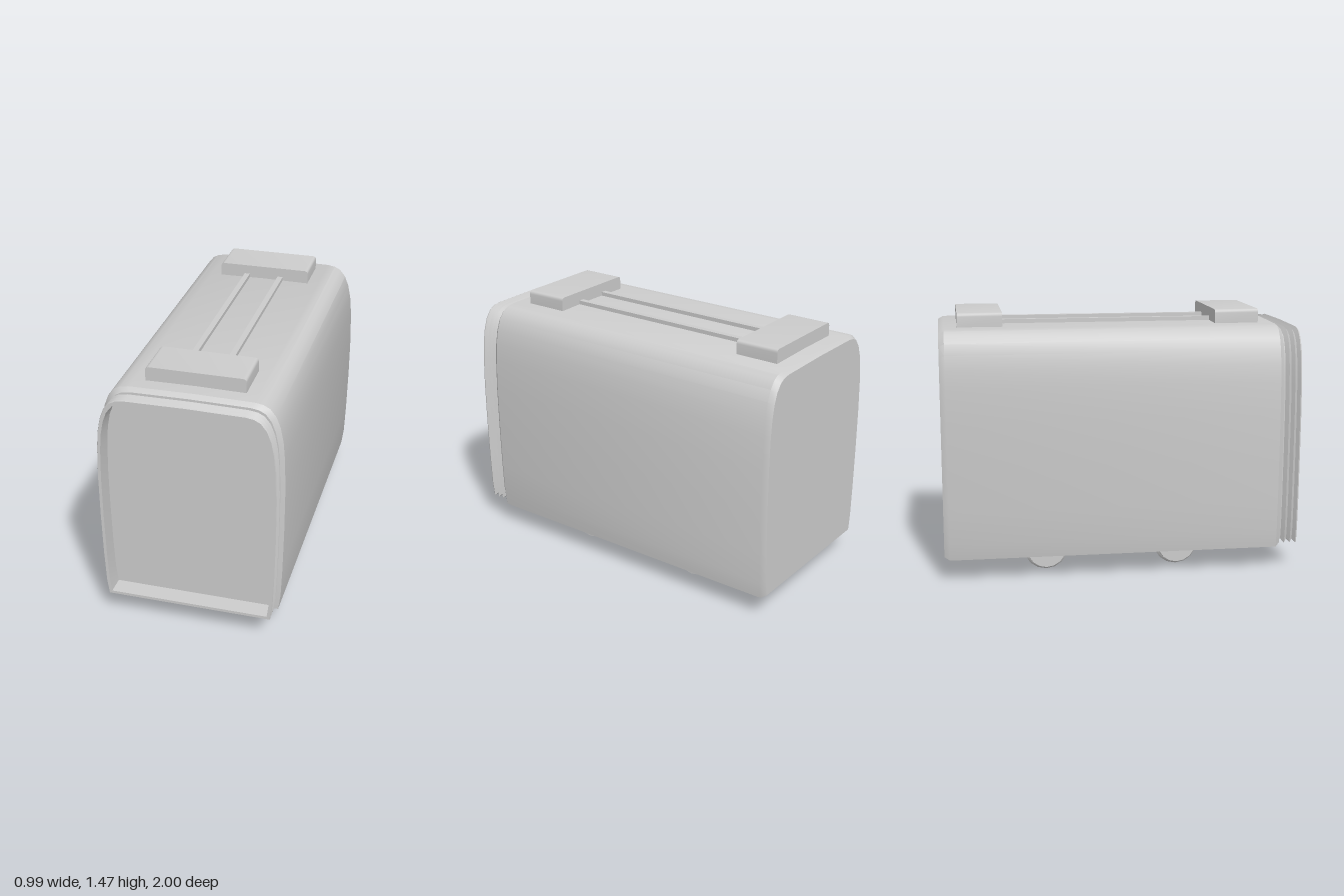
import * as THREE from 'three';
import { toCreasedNormals } from 'three/addons/utils/BufferGeometryUtils.js';

// Half of the carriage section, bottom corner to roof centre
const half = [
  [0.472, 0.125], [0.484, 0.22], [0.491, 0.4], [0.496, 0.65], [0.497, 0.9], [0.491, 1.08], [0.482, 1.18],
  [0.466, 1.26], [0.443, 1.32], [0.41, 1.362], [0.375, 1.38], [0.33, 1.387], [0, 1.391],
];
const section = [...half, ...half.slice(0, -1).reverse().map(([x, y]) => [-x, y])];
const midY = 0.757;

// Closed skin through scaled copies of the section; rings are [z, inset]
function loft(rings) {
  const pos = [], index = [], n = section.length;
  for (const [z, inset] of rings) {
    for (const [x, y] of section) {
      pos.push(x * (1 - inset / 0.497), midY + (y - midY) * (1 - inset / 0.634), z);
    }
  }
  for (let r = 0; r < rings.length - 1; r++) {
    for (let i = 0; i < n; i++) {
      const j = (i + 1) % n, a = r * n + i, b = r * n + j, c = a + n, d = b + n;
      index.push(a, b, d, a, d, c);
    }
  }
  // End panels
  const last = (rings.length - 1) * n, c0 = rings.length * n;
  pos.push(0, midY, rings[0][0], 0, midY, rings[rings.length - 1][0]);
  for (let i = 0; i < n; i++) {
    const j = (i + 1) % n;
    index.push(c0, j, i, c0 + 1, last + i, last + j);
  }
  const geo = new THREE.BufferGeometry();
  geo.setAttribute('position', new THREE.Float32BufferAttribute(pos, 3));
  geo.setIndex(index);
  return toCreasedNormals(geo, 0.6);
}

export function createModel() {
  const model = new THREE.Group();
  const grey = new THREE.MeshStandardMaterial({ color: 0xcccccc });
  grey.name = 'plain grey';

  function add(name, geo, x = 0, y = 0, z = 0) {
    const mesh = new THREE.Mesh(geo, grey);
    mesh.name = name;
    mesh.position.set(x, y, z);
    model.add(mesh);
    return mesh;
  }

  // Carriage body with bevelled ends
  add('carriageBody', loft([[-1, 0.017], [-0.97, 0], [0.875, 0], [0.9, 0.02]]));

  // Folded gangway bellows, hollow at the front with a recessed end panel
  add('gangwayBellows', loft([
    [0.89, 0.03], [0.91, 0.036], [0.928, 0.017], [0.945, 0.036], [0.961, 0.017],
    [0.978, 0.036], [0.993, 0.017], [1, 0.02], [1, 0.036], [0.905, 0.04],
  ]));

  // Roof equipment boxes with rounded long edges
  const w = 0.268, y0 = 1.38, y1 = 1.465, r = 0.02;
  const box = new THREE.Shape();
  box.moveTo(-w, y0);
  box.lineTo(w, y0);
  box.lineTo(w, y1 - r);
  box.quadraticCurveTo(w, y1, w - r, y1);
  box.lineTo(-w + r, y1);
  box.quadraticCurveTo(-w, y1, -w, y1 - r);
  const boxGeo = toCreasedNormals(
    new THREE.ExtrudeGeometry(box, { depth: 0.248, bevelEnabled: false, curveSegments: 4 }), 0.6);
  add('frontRoofBox', boxGeo, 0, 0, 0.544);
  add('rearRoofBox', boxGeo, 0, 0, -0.897);

  // Roof conduits between the boxes
  for (const x of [-0.105, 0.1]) {
    add('roofConduit', new THREE.BoxGeometry(0.032, 0.03, 1.2), x, 1.397, -0.053);
  }

  // Underfloor plate
  add('underfloorPlate', new THREE.BoxGeometry(0.74, 0.016, 0.98), 0, 0.126, -0.045);

  // Wheelsets: flanged wheels on thin axles
  const profile = [[0, 0], [0.12, 0], [0.127, 0.008], [0.122, 0.014], [0.112, 0.02], [0.108, 0.046], [0, 0.046]]
    .map(([x, y]) => new THREE.Vector2(x, y));
  const wheelGeo = toCreasedNormals(new THREE.LatheGeometry(profile, 16), 0.6);
  const axleGeo = new THREE.CylinderGeometry(0.011, 0.011, 0.6, 10);
  for (const z of [0.325, -0.425]) {
    add('axle', axleGeo, 0, 0.122, z).rotation.z = Math.PI / 2;
    for (const side of [-1, 1]) {
      add('wheel', wheelGeo, side * 0.291, 0.127, z).rotation.z = -side * Math.PI / 2;
    }
  }
  return model;
}
